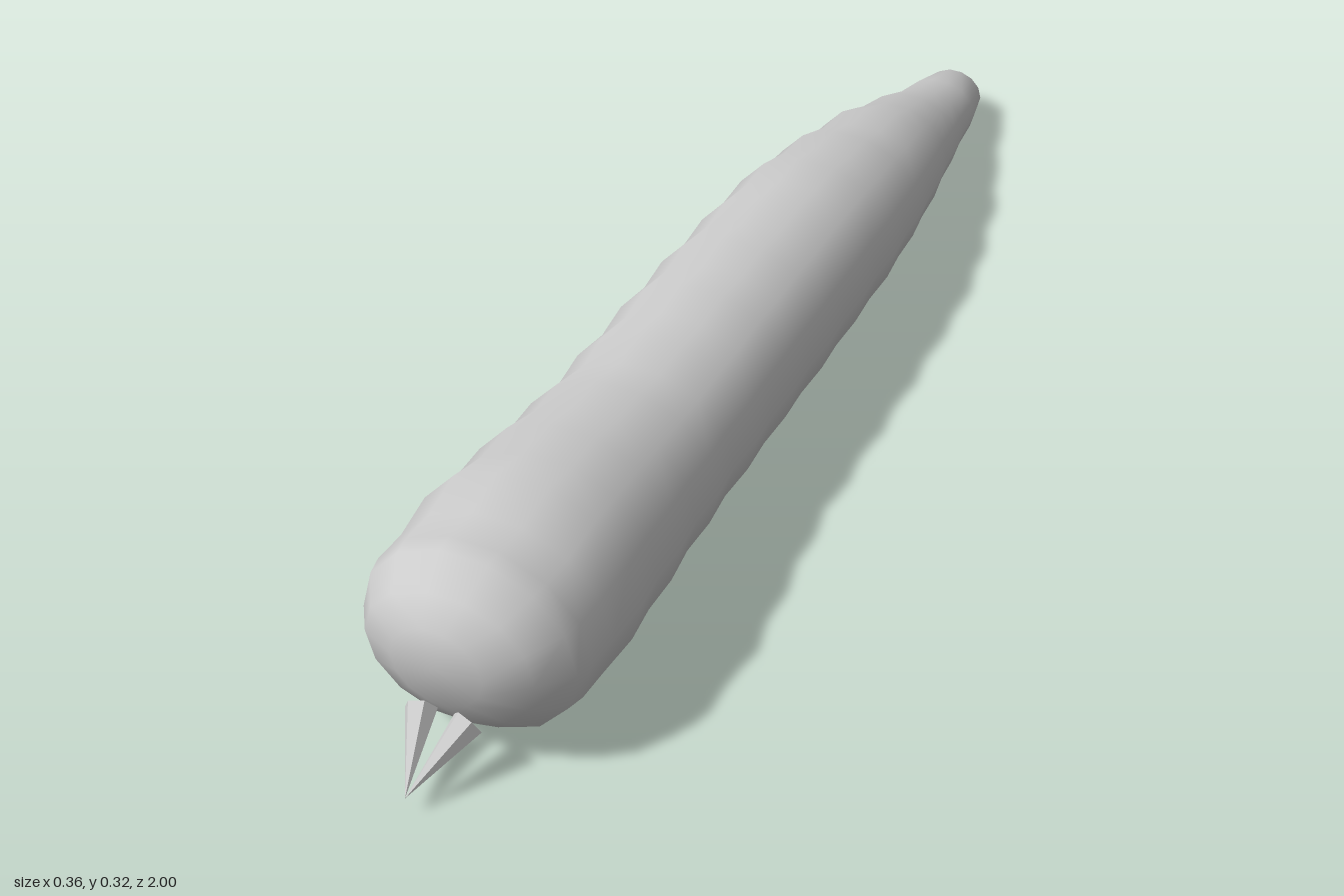
import * as THREE from 'three';
import { mergeVertices } from 'three/addons/utils/BufferGeometryUtils.js';

const SIDES = 14;

// Skins elliptical rings [z, halfWidth, top, bottom], listed from front to back.
function skinRings(rings) {
  const pos = [], index = [];
  rings.forEach(([z, rx, top, bottom], i) => {
    const cy = (top + bottom) / 2, ry = (top - bottom) / 2;
    for (let s = 0; s < SIDES; s++) {
      const a = (s / SIDES) * Math.PI * 2;
      pos.push(rx * Math.cos(a), cy + ry * Math.sin(a), z);
      if (i === rings.length - 1) continue;
      const p = i * SIDES + s, p1 = i * SIDES + (s + 1) % SIDES;
      if (rings[i + 1][1] > 0) index.push(p, p + SIDES, p1 + SIDES);
      else index.push(p, p + SIDES, p1);
      if (rx > 0 && rings[i + 1][1] > 0) index.push(p, p1 + SIDES, p1);
    }
  });
  let geo = new THREE.BufferGeometry();
  geo.setAttribute('position', new THREE.Float32BufferAttribute(pos, 3));
  geo.setIndex(index);
  geo = mergeVertices(geo);
  geo.computeVertexNormals();
  return geo;
}

export function createModel() {
  const group = new THREE.Group();
  group.name = 'larva';

  // Blunt rounded head
  const head = [
    [0.905, 0, 0.185, 0.185], [0.902, 0.07, 0.25, 0.12],
    [0.868, 0.13, 0.284, 0.066], [0.815, 0.165, 0.313, 0.014],
    [0.785, 0.172, 0.314, 0.01], [0.725, 0.172, 0.31, 0.005],
  ];
  // Segmented body: [halfWidth, top] at even steps, swelling on every other ring
  const segments = [
    [0.178, 0.324], [0.168, 0.309], [0.169, 0.309], [0.159, 0.291],
    [0.161, 0.29], [0.152, 0.276], [0.157, 0.284], [0.151, 0.275],
    [0.155, 0.284], [0.15, 0.274], [0.154, 0.281], [0.148, 0.27],
    [0.151, 0.275], [0.145, 0.265], [0.147, 0.265], [0.137, 0.246],
    [0.134, 0.24], [0.121, 0.215], [0.115, 0.209], [0.099, 0.18],
    [0.09, 0.161], [0.075, 0.132], [0.067, 0.115],
  ].map(([w, top], i) => [0.65 - i * 0.0695, w, top, i < 3 ? 0.001 : 0.005]);
  // Small rounded tail
  const tail = [[-0.955, 0.05, 0.095, 0.005], [-0.985, 0.023, 0.066, 0.024], [-1, 0, 0.045, 0.045]];

  const body = new THREE.Mesh(
    skinRings([...head, ...segments, ...tail]),
    new THREE.MeshStandardMaterial({ color: 0xcccccc })
  );
  body.name = 'body';
  group.add(body);

  // Pair of fangs converging on one point in front of the head
  const fangMaterial = new THREE.MeshStandardMaterial({ color: 0xcccccc, flatShading: true });
  for (const side of [-1, 1]) {
    const base = new THREE.Vector3(side * 0.036, 0.09, 0.888);
    const tip = new THREE.Vector3(0, 0.034, 1);
    const axis = tip.clone().sub(base);
    const fang = new THREE.Mesh(new THREE.ConeGeometry(0.024, axis.length(), 6), fangMaterial);
    fang.position.copy(base).add(tip).multiplyScalar(0.5);
    fang.quaternion.setFromUnitVectors(new THREE.Vector3(0, 1, 0), axis.normalize());
    fang.name = side > 0 ? 'leftFang' : 'rightFang';
    group.add(fang);
  }
  return group;
}
